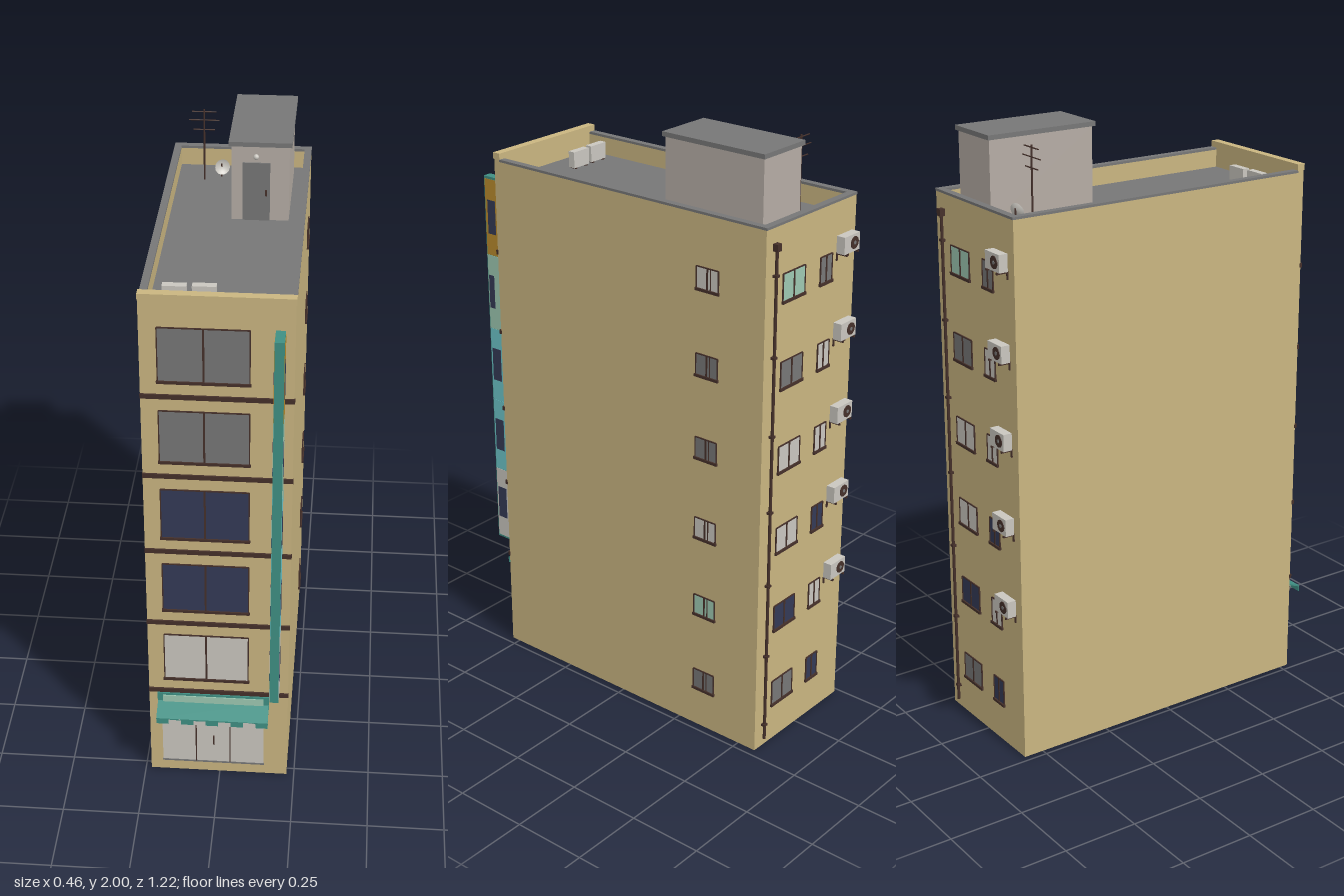
import * as THREE from 'three';

const mat = (name, color) => {
  const m = new THREE.MeshStandardMaterial({ color, side: THREE.DoubleSide });
  m.name = name;
  return m;
};

export function createModel() {
  const tan = mat('tan wall', 0xc9b580), grey = mat('grey', 0x777777), brown = mat('dark brown', 0x45302a),
    teal = mat('teal', 0x3f8f83), navy = mat('navy', 0x343a56), light = mat('off white', 0xc9c6bf),
    mint = mat('mint', 0x9dc8b2), cyan = mat('cyan', 0x6cc4c9), ochre = mat('ochre', 0xb98b2d),
    taupe = mat('taupe', 0xb5aca4);
  const root = new THREE.Group();
  root.name = 'building';

  const add = (parent, name, geo, m, x, y, z) => {
    const mesh = new THREE.Mesh(geo, m);
    mesh.name = name;
    mesh.position.set(x, y, z);
    parent.add(mesh);
    return mesh;
  };
  // Box given by its lower and upper corners
  const box = (parent, name, m, x0, x1, y0, y1, z0, z1) =>
    add(parent, name, new THREE.BoxGeometry(x1 - x0, y1 - y0, z1 - z0), m, (x0 + x1) / 2, (y0 + y1) / 2, (z0 + z1) / 2);
  const rod = (parent, name, m, r, len, x, y, z) =>
    add(parent, name, new THREE.CylinderGeometry(r, r, len, 10), m, x, y, z);
  const group = (name, x = 0, y = 0, z = 0, turn = 0) => {
    const g = new THREE.Group();
    g.name = name;
    g.position.set(x, y, z);
    g.rotation.y = turn;
    root.add(g);
    return g;
  };

  const L = -0.231, R = 0.225, B = -0.57, F = 0.53, PITCH = 0.2825, ROOF = 1.73, T = 0.022;

  // Main block, floor slab and roof deck
  box(root, 'walls', tan, L, R, 0.002, ROOF, B, F);
  box(root, 'baseSlab', grey, L + T, R - T, 0, 0.004, B + T, F - T);
  box(root, 'roofDeck', grey, L + T, R - T, ROOF, ROOF + 0.004, B + T, F - T);

  // Parapet with grey coping and a taller front
  box(root, 'rightParapet', tan, L, L + T, ROOF, 1.793, B, F - T);
  box(root, 'leftParapet', tan, R - T, R, ROOF, 1.793, B, F - T);
  box(root, 'backParapet', tan, L + T, R - T, ROOF, 1.793, B, B + T);
  box(root, 'rightCoping', grey, L - 0.001, L + T, 1.793, 1.801, B - 0.002, F - T);
  box(root, 'leftCoping', grey, R - T, R + 0.001, 1.793, 1.801, B - 0.002, F - T);
  box(root, 'backCoping', grey, L + T, R - T, 1.793, 1.801, B - 0.002, B + T);
  box(root, 'frontParapet', tan, L, R, ROOF, 1.8, F - T, F);
  box(root, 'frontCap', tan, L - 0.001, R + 0.002, 1.8, 1.821, F - 0.025, F + 0.003);

  // Sliding window facing local +z, centred on its group
  const slidingWindow = (name, w, h, pane, x, y, z, turn) => {
    const g = group(name, x, y, z, turn), e = 0.0035;
    box(g, 'pane', pane, -w / 2, w / 2, -h / 2, h / 2, 0, 0.002);
    for (const s of [-1, 1]) box(g, 'sideFrame', brown, s * w / 2 - e / 2, s * w / 2 + e / 2, -h / 2, h / 2, 0, 0.004);
    box(g, 'topFrame', brown, -w / 2, w / 2, h / 2 - e / 2, h / 2 + e / 2, 0, 0.004);
    box(g, 'mullion', brown, -0.003, 0.003, -h / 2, h / 2, 0, 0.004);
    box(g, 'sill', brown, -w / 2 - 0.004, w / 2 + 0.004, -h / 2 - 0.005, -h / 2 + 0.004, 0, 0.007);
    return g;
  };

  // Front windows and floor bands, from the first upper floor up
  [light, navy, navy, grey, grey].forEach((pane, i) => {
    const y = 0.492 + i * PITCH;
    slidingWindow('frontWindow', 0.272, 0.182, pane, -0.042, y, F, 0);
    box(root, 'floorBand', brown, L - 0.001, R + 0.002, y - 0.149, y - 0.134, F - 0.003, F + 0.006);
  });

  // Side and back windows for every floor, bottom to top
  const sidePanes = [grey, mint, light, grey, grey, light];
  const widePanes = [grey, navy, light, light, grey, mint];
  const narrowPanes = [navy, light, navy, light, light, grey];
  for (let i = 0; i < 6; i++) {
    const y = 0.18 + i * PITCH;
    const side = slidingWindow('sideWindow', 0.084, 0.072, sidePanes[i], R, y, -0.355, Math.PI / 2);
    box(side, 'innerSash', brown, 0.011, 0.014, -0.036, 0.036, 0, 0.004);
    slidingWindow('backWideWindow', 0.11, 0.09, widePanes[i], 0.085, y, B, Math.PI);
    slidingWindow('backNarrowWindow', 0.06, 0.088, narrowPanes[i], -0.08, y, B, Math.PI);
    if (i === 0) continue;

    // Wall-hung air conditioner beside the narrow window
    const ac = group('airConditioner', -0.165, y + 0.067, B, Math.PI);
    box(ac, 'casing', light, -0.04, 0.04, -0.028, 0.028, 0.006, 0.036);
    const fan = add(ac, 'fan', new THREE.CylinderGeometry(0.02, 0.02, 0.003, 20), brown, 0.012, 0, 0.0365);
    fan.rotation.x = Math.PI / 2;
    const hub = add(ac, 'fanHub', new THREE.CylinderGeometry(0.006, 0.006, 0.003, 12), grey, 0.012, 0, 0.038);
    hub.rotation.x = Math.PI / 2;
    for (const x of [-0.03, 0.03]) {
      box(ac, 'bracketArm', brown, x - 0.003, x + 0.003, -0.034, -0.028, 0, 0.04);
      box(ac, 'bracketPost', brown, x - 0.003, x + 0.003, -0.055, -0.028, 0, 0.004);
    }
  }

  // Drainpipe on the back wall
  rod(root, 'drainpipe', brown, 0.005, 1.7, 0.183, 0.88, B - 0.008);
  box(root, 'pipeHopper', brown, 0.173, 0.193, 1.722, 1.745, B - 0.018, B);
  for (let i = 0; i < 7; i++) {
    const y = 0.08 + i * 0.26;
    box(root, 'pipeClip', brown, 0.175, 0.191, y, y + 0.008, B - 0.014, B);
  }

  // Shopfront: transom, three panels, mullions and handle
  const shop = group('shopfront', 0, 0, F);
  box(shop, 'transomNavy', navy, -0.19, -0.08, 0.225, 0.27, 0, 0.003);
  box(shop, 'transomGrey', grey, -0.08, 0.148, 0.225, 0.27, 0, 0.003);
  for (const x of [-0.19, -0.077, 0.036]) box(shop, 'glassPanel', light, x, x + 0.111, 0.047, 0.225, 0, 0.003);
  for (const x of [-0.078, 0.035]) box(shop, 'mullion', brown, x - 0.002, x + 0.002, 0.047, 0.27, 0, 0.005);
  box(shop, 'bottomRail', grey, -0.192, 0.15, 0.042, 0.048, 0, 0.005);
  box(shop, 'handle', brown, -0.022, -0.017, 0.125, 0.16, 0.003, 0.009);

  // Fascia board over the shop
  box(root, 'fasciaFrame', teal, -0.203, 0.163, 0.288, 0.342, F, F + 0.009);
  box(root, 'fasciaPanel', mint, -0.185, 0.145, 0.308, 0.334, F, F + 0.012);

  // Sloped awning with a striped valance
  const awning = new THREE.Shape([[0.53, 0.307], [0.6, 0.28], [0.6, 0.285], [0.53, 0.313]].map(p => new THREE.Vector2(...p)));
  const canopy = add(root, 'awning', new THREE.ExtrudeGeometry(awning, { depth: 0.365, bevelEnabled: false }), teal, 0.163, 0, 0);
  canopy.rotation.y = -Math.PI / 2;
  canopy.geometry.scale(1, 1, 1);
  for (let i = 0; i < 9; i++) {
    const x = -0.202 + i * 0.0406;
    box(root, 'valance', i % 2 ? light : teal, x, x + 0.0406, 0.263, 0.283, 0.597, 0.6);
  }

  // Projecting vertical sign: frame, coloured panels and navy patches on both faces
  box(root, 'signFrame', teal, 0.168, 0.197, 0.385, 1.722, 0.54, 0.61);
  [[light, 0.563, 0.601], [cyan, 0.563, 0.601], [cyan, 0.563, 0.601], [mint, 0.58, 0.603], [ochre, 0.563, 0.597]].forEach(([m, z0, z1], i) => {
    const y = 0.392 + i * 0.2645;
    for (const x of [0.168, 0.197]) {
      box(root, 'signPanel', m, x - 0.001, x + 0.001, y, y + 0.2635, 0.544, 0.607);
      box(root, 'signPatch', navy, x - 0.002, x + 0.002, y + 0.075, y + 0.192, z0, z1);
    }
  });
  for (const y of [0.42, 0.8, 1.25, 1.69]) box(root, 'signBracket', brown, 0.178, 0.187, y, y + 0.012, F, 0.542);

  // Stair house with lid, door and lamp
  box(root, 'stairHouse', taupe, -0.012, 0.17, ROOF, 1.985, -0.515, -0.145);
  box(root, 'stairLid', grey, -0.02, 0.178, 1.985, 2, -0.522, -0.138);
  box(root, 'stairDoor', grey, 0.024, 0.11, ROOF, 1.93, -0.146, -0.141);
  box(root, 'doorHandle', brown, 0.095, 0.101, 1.82, 1.84, -0.142, -0.137);
  add(root, 'doorLamp', new THREE.SphereGeometry(0.009, 12, 8), light, 0.066, 1.95, -0.142);

  // Aerial with three cross bars
  rod(root, 'aerialMast', brown, 0.003, 0.25, -0.122, 1.855, -0.435);
  [[1.972, 0.08], [1.943, 0.1], [1.91, 0.07]].forEach(([y, len]) => {
    rod(root, 'aerialBar', brown, 0.002, len, -0.122, y, -0.435).rotation.z = Math.PI / 2;
  });

  // Satellite dish on a short post
  const dish = group('satelliteDish', -0.065, 1.78, -0.455, 0.38);
  const bowl = add(dish, 'bowl', new THREE.SphereGeometry(0.045, 20, 6, 0, Math.PI * 2, 0, 0.6), light, 0, 0, 0.038);
  bowl.rotation.x = -Math.PI / 2 - 0.25;
  rod(dish, 'post', brown, 0.003, 0.05, 0, 1.755 - 1.78, -0.008);

  // Condenser units standing behind the front parapet
  for (const [x, z] of [[-0.136, 0.414], [-0.048, 0.41]]) {
    box(root, 'roofCondenser', light, x - 0.036, x + 0.036, ROOF + 0.008, ROOF + 0.062, z - 0.012, z + 0.012);
    for (const s of [-0.025, 0.025]) box(root, 'condenserFoot', brown, x + s - 0.004, x + s + 0.004, ROOF, ROOF + 0.008, z - 0.012, z + 0.012);
  }
  return root;
}
